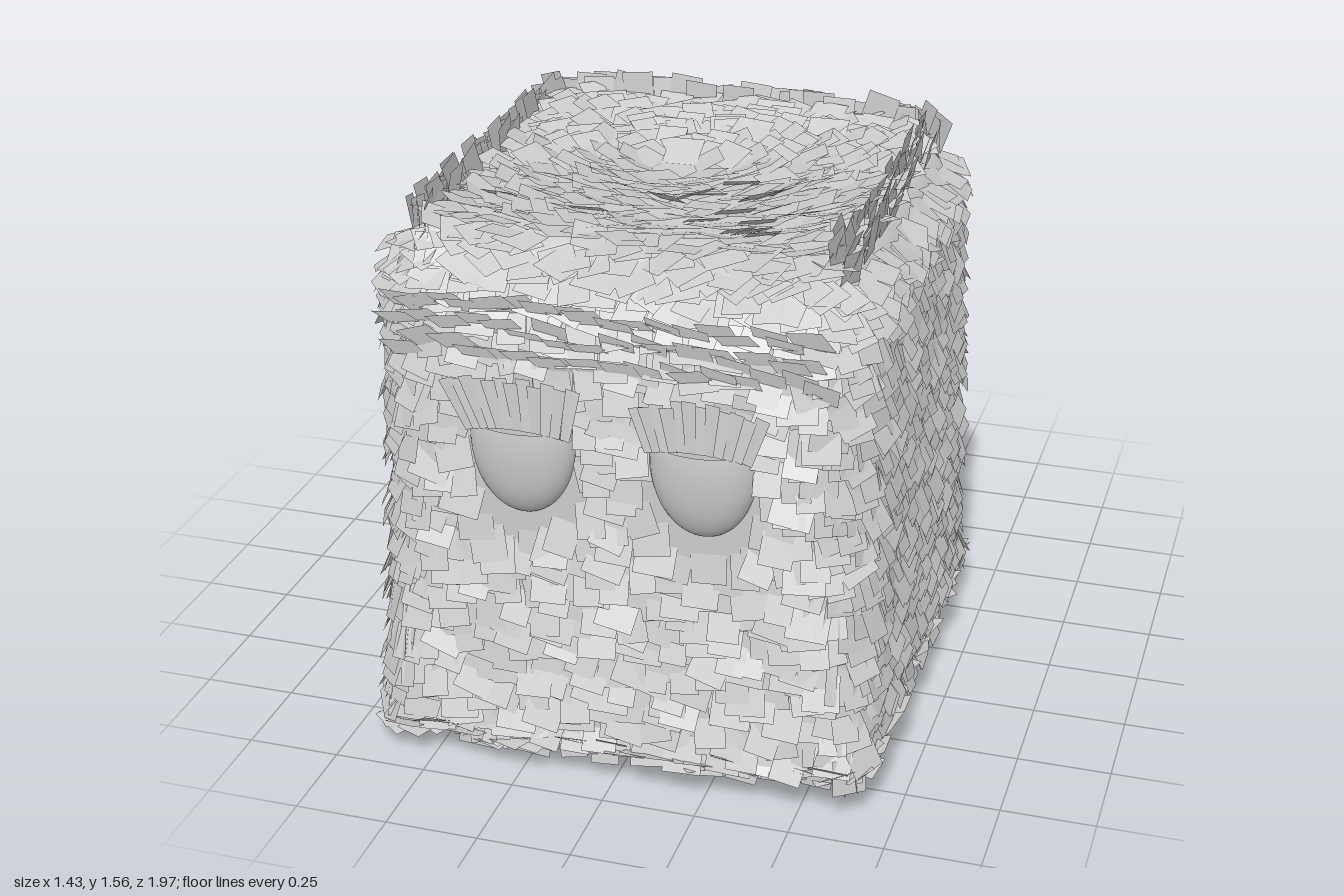
import * as THREE from 'three';

const V = (x, y, z) => new THREE.Vector3(x, y, z);

// Seeded random numbers
let seed = 7;
const rand = () => {
  seed = (seed * 1664525 + 1013904223) % 4294967296;
  return seed / 4294967296;
};
const jitter = (s) => (rand() * 2 - 1) * s;

const HALF = V(0.63, 0.69, 0.62);

// Maps a point on the unit cube to the cushioned body; the top is rounder than the base
function bodyPoint(cube) {
  const k = (cube.y + 1) / 2;
  const r = 0.05 + 0.12 * Math.min(1, k * 2);
  const p = cube.clone().multiply(HALF);
  const inner = HALF.clone().subScalar(r);
  const q = p.clone().clamp(inner.clone().negate(), inner);
  const normal = p.clone().sub(q).normalize();
  p.copy(q).addScaledVector(normal, r);
  const [fx, fy, fz] = cube.toArray().map((c) => 1 - c ** 4);
  p.x += 0.025 * cube.x * fy * fz;
  if (cube.y > 0) p.y += 0.015 * cube.y * fx * fz;
  if (cube.z > 0) p.z += 0.03 * cube.z * (1 - k) ** 3;
  p.x *= 1.02 - 0.04 * k;
  p.y += 0.75 + 0.035 * p.x * (1 - k);
  p.z += 0.245;
  return { p, normal };
}

function bodyCore() {
  const g = new THREE.BoxGeometry(2, 2, 2, 22, 22, 22);
  const pos = g.attributes.position;
  for (let i = 0; i < pos.count; i++) {
    const { p, normal } = bodyPoint(V(0, 0, 0).fromBufferAttribute(pos, i));
    pos.setXYZ(i, p.x, p.y, p.z);
    g.attributes.normal.setXYZ(i, normal.x, normal.y, normal.z);
  }
  return g;
}

// One flat tuft: root at p, growing along t, lifted along n
function addCard(out, p, t, n, length, width, lift, flare = 1) {
  const b = t.clone().cross(n).normalize().multiplyScalar(width / 2);
  const tip = p.clone().addScaledVector(t, length).addScaledVector(n, lift);
  const a = p.clone().sub(b), c = p.clone().add(b);
  const d = tip.clone().addScaledVector(b, flare), e = tip.clone().addScaledVector(b, -flare);
  const tilt = n.clone().addScaledVector(t, -lift / length).normalize();
  for (const v of [a, c, d, a, d, e]) {
    out.pos.push(v.x, v.y, v.z);
    out.normal.push(tilt.x, tilt.y, tilt.z);
  }
}

const newCards = () => ({ pos: [], normal: [] });

function cardGeometry(out) {
  const g = new THREE.BufferGeometry();
  g.setAttribute('position', new THREE.Float32BufferAttribute(out.pos, 3));
  g.setAttribute('normal', new THREE.Float32BufferAttribute(out.normal, 3));
  return g;
}

// Tufts over one cube face: the walls hang downward, the cap and base spread outward
function furFace(axis, sign) {
  const out = newCards();
  const cols = 24, rows = 28;
  const u = (axis + 1) % 3, v = (axis + 2) % 3;
  const base = axis === 1 && sign < 0;
  const cap = axis === 1 && sign > 0;
  for (let i = 0; i < cols; i++) for (let j = 0; j < rows; j++) {
    const cube = V(0, 0, 0).setComponent(axis, sign);
    cube.setComponent(u, THREE.MathUtils.clamp(((i + 0.5 + jitter(0.5)) / cols) * 2 - 1, -1, 1));
    cube.setComponent(v, THREE.MathUtils.clamp(((j + 0.5 + jitter(0.5)) / rows) * 2 - 1, -1, 1));
    const { p, normal } = bodyPoint(cube);
    // Leave room for the eyes
    if (axis === 2 && sign > 0 &&
      ((Math.abs(p.x) - 0.235) / 0.17) ** 2 + ((p.y - 0.92) / 0.24) ** 2 < 1) continue;
    // Tufts on the side and back rims of the cap stand upright
    if (cap && normal.y < 0.93 && normal.z < 0.3) {
      const away = V(normal.x, 0, normal.z).normalize();
      addCard(out, p, V(jitter(0.3), 1, jitter(0.3)).normalize(), away,
        0.07 + 0.03 * rand(), 0.09, 0.02 * rand());
      continue;
    }
    const spread = axis === 1 ? 0.7 : 0.3;
    const t = axis === 1 ? cube.clone().setY(0).normalize() : V(0, -1, 0);
    t.add(V(jitter(spread), jitter(spread), jitter(spread)));
    t.addScaledVector(normal, -t.dot(normal)).normalize();
    const lift = base ? 0.005 + 0.01 * rand() : 0.012 + 0.03 * rand();
    // Tufts by the floor are cut short
    const length = (0.065 + 0.03 * rand()) * (axis !== 1 && p.y < 0.14 ? 0.6 : 1);
    addCard(out, p.addScaledVector(normal, 0.002), t, normal, length, 0.07 + 0.04 * rand(), lift);
  }
  return cardGeometry(out);
}

// Shaggy rows of tufts that jut forward above the eyes
function browFringe() {
  const out = newCards();
  for (const y of [1.14, 1.2, 1.26]) {
    for (let i = 0; i < 18; i++) {
      const x = -0.52 + (i / 17) * 1.04 + jitter(0.02);
      const t = V(jitter(0.25) + x * 0.2, 0.75, 0.9 + jitter(0.15)).normalize();
      const n = V(0, -0.2, 1).normalize();
      addCard(out, V(x, y + jitter(0.02), 0.865), t, n, 0.11 + 0.03 * rand(), 0.09, 0);
    }
  }
  return cardGeometry(out);
}

// Fan of upright lashes along the top of an eye
function lashes(side) {
  const out = newCards();
  for (let i = 0; i < 12; i++) {
    const s = (i / 11) * 2 - 1;
    const root = V(side * (0.235 + 0.125 * s), 0.985 - 0.025 * s * s, 0.935 - 0.025 * s * s);
    const t = V(side * (0.28 * s + 0.06), 1, 0.15).normalize();
    const n = V(0, 0.1, 1).normalize();
    addCard(out, root, t, n, 0.145 + jitter(0.015), 0.025, i % 2 ? 0.008 : 0, 1.5);
  }
  return cardGeometry(out);
}

// Each section: outer z, y, inner z, y, half width in x
const TAIL = [
  [-0.36, 1.26, -0.43, 1.10, 0.12], [-0.44, 1.31, -0.51, 1.04, 0.14],
  [-0.56, 1.33, -0.57, 0.99, 0.17], [-0.69, 1.32, -0.60, 0.94, 0.19],
  [-0.82, 1.19, -0.63, 0.87, 0.19], [-0.92, 1.01, -0.67, 0.76, 0.18],
  [-0.985, 0.81, -0.71, 0.65, 0.16], [-0.995, 0.65, -0.76, 0.53, 0.125],
  [-0.91, 0.49, -0.80, 0.43, 0.07], [-0.83, 0.38, -0.82, 0.38, 0.005],
];

function tailGeometry() {
  const sides = 22, pos = [], index = [];
  TAIL.forEach(([oz, oy, iz, iy, w], r) => {
    for (let i = 0; i < sides; i++) {
      const a = (i / sides) * Math.PI * 2;
      // Alternate ridges read as strands
      const k = (i % 2 ? 0.97 : 1.01) + jitter(0.02);
      const c = Math.cos(a) * k, s = Math.sin(a) * k;
      pos.push(-0.01 + w * s, (oy + iy) / 2 + ((oy - iy) / 2) * c, (oz + iz) / 2 + ((oz - iz) / 2) * c);
      if (r === TAIL.length - 1) continue;
      const p = r * sides + i, q = r * sides + ((i + 1) % sides);
      index.push(p, q, q + sides, p, q + sides, p + sides);
    }
  });
  const g = new THREE.BufferGeometry();
  g.setAttribute('position', new THREE.Float32BufferAttribute(pos, 3));
  g.setIndex(index);
  const faceted = g.toNonIndexed();
  faceted.computeVertexNormals();
  return faceted;
}

export function createModel() {
  seed = 7;
  const group = new THREE.Group();
  const grey = new THREE.MeshStandardMaterial({ color: 0xcccccc, side: THREE.DoubleSide });
  grey.name = 'light grey';
  const add = (name, geometry) => {
    const mesh = new THREE.Mesh(geometry, grey);
    mesh.name = name;
    group.add(mesh);
    return mesh;
  };

  // Furry block body
  add('body', bodyCore());
  const faces = [['leftFur', 'rightFur'], ['topFur', 'baseFur'], ['frontFur', 'backFur']];
  faces.forEach((names, axis) => names.forEach((name, i) => add(name, furFace(axis, i ? -1 : 1))));
  add('browFringe', browFringe());

  // Eyes, cut off straight under the lashes
  for (const side of [1, -1]) {
    const name = side > 0 ? 'left' : 'right';
    const eye = add(name + 'Eye',
      new THREE.SphereGeometry(1, 32, 20, 0, Math.PI * 2, Math.PI * 0.42, Math.PI * 0.58));
    eye.scale.set(0.14, 0.2, 0.08);
    eye.position.set(side * 0.237, 0.925, 0.86);
    add(name + 'Lashes', lashes(side));
  }

  // Tail of hair and its band
  add('tail', tailGeometry());
  const band = add('tailBand', new THREE.TorusGeometry(0.155, 0.022, 10, 32));
  band.position.set(-0.01, 1.11, -0.455);
  band.rotation.x = 0.42;

  return group;
}
